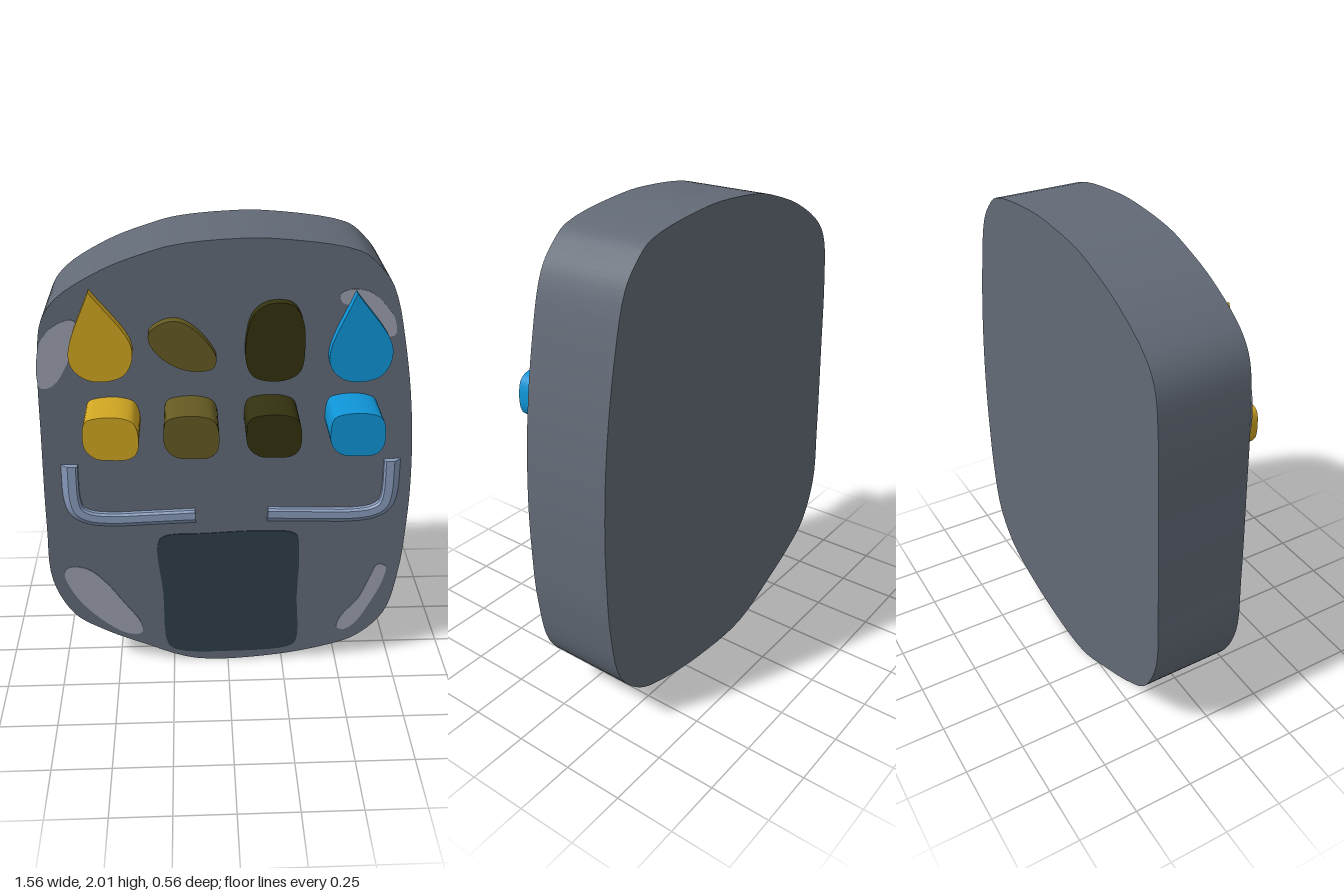
import * as THREE from 'three';
import { toCreasedNormals } from 'three/addons/utils/BufferGeometryUtils.js';

const FACE = 0.1; // z of the body's front face

function material(name, color) {
  const m = new THREE.MeshStandardMaterial({ color });
  m.name = name;
  return m;
}

// Smooth curve through a few [x, y] points
function smooth(points, closed, count) {
  const curve = new THREE.CatmullRomCurve3(points.map(([x, y]) => new THREE.Vector3(x, y, 0)), closed, 'centripetal');
  return curve.getPoints(count).map((p) => new THREE.Vector2(p.x, p.y));
}

// Slab with a given outline between two depths
function slab(name, outline, back, front, mat) {
  const geo = new THREE.ExtrudeGeometry(new THREE.Shape(outline), { depth: front - back, bevelEnabled: false });
  const mesh = new THREE.Mesh(toCreasedNormals(geo, 0.5), mat);
  mesh.position.z = back;
  mesh.name = name;
  return mesh;
}
const blob = (name, points, back, front, mat) =>
  slab(name, smooth(points, true, points.length * 5).slice(0, -1), back, front, mat);

// Handrail: faceted profile swept along a path; side -1 is the right, 1 the left
function rail(name, side, mat) {
  const path = smooth([[-0.655, 1.06], [-0.655, 0.89], [-0.638, 0.835], [-0.59, 0.803], [-0.5, 0.79], [-0.35, 0.793], [-0.14, 0.8]], false, 28);
  const profile = [[-0.036, FACE - 0.005], [-0.036, FACE + 0.003], [-0.008, FACE + 0.025], [0.026, FACE + 0.025], [0.034, FACE + 0.016], [0.034, FACE - 0.005]];
  const rings = path.map((p, i) => {
    const a = path[Math.max(i - 1, 0)], b = path[Math.min(i + 1, path.length - 1)];
    const t = b.clone().sub(a).normalize();
    return profile.map(([o, z]) => {
      const x = p.x - t.y * o, y = p.y + t.x * o;
      return [side < 0 ? x : 0.028 - x, y, z];
    });
  });
  const pos = [];
  const tri = (a, b, c) => (side < 0 ? pos.push(...a, ...b, ...c) : pos.push(...a, ...c, ...b));
  for (let i = 0; i < rings.length - 1; i++) {
    for (let j = 0; j < profile.length - 1; j++) {
      const a = rings[i][j], b = rings[i + 1][j], c = rings[i + 1][j + 1], d = rings[i][j + 1];
      tri(a, b, c);
      tri(a, c, d);
    }
  }
  // End caps
  const first = rings[0], last = rings[rings.length - 1];
  for (let j = 1; j < profile.length - 1; j++) {
    tri(first[0], first[j], first[j + 1]);
    tri(last[0], last[j + 1], last[j]);
  }
  const geo = new THREE.BufferGeometry();
  geo.setAttribute('position', new THREE.Float32BufferAttribute(pos, 3));
  const mesh = new THREE.Mesh(toCreasedNormals(geo, 0.4), mat);
  mesh.name = name;
  return mesh;
}

export function createModel() {
  const group = new THREE.Group();
  group.name = 'controlStone';
  const stone = material('slate grey', 0x626a76);
  const patch = material('pale grey', 0x9a9fac);
  const panel = material('dark teal', 0x2e3c47);
  const metal = material('blue grey', 0x879bbc);
  const yellow = material('yellow', 0xd0a622);
  const olive = material('olive', 0x655a22);
  const dark = material('dark olive', 0x33320f);
  const blue = material('blue', 0x0f94d6);

  // Main body
  group.add(blob('body', [
    [-0.2, 1.98], [0, 2], [0.17, 2], [0.49, 1.95], [0.56, 1.9], [0.63, 1.81], [0.7, 1.55], [0.75, 1.24], [0.772, 0.94],
    [0.772, 0.71], [0.76, 0.49], [0.71, 0.25], [0.59, 0.117], [0.44, 0.058], [0.17, 0.008], [-0.15, 0.004], [-0.39, 0.1],
    [-0.57, 0.19], [-0.69, 0.28], [-0.773, 0.47], [-0.775, 0.76], [-0.76, 1.18], [-0.745, 1.5], [-0.715, 1.69],
    [-0.65, 1.78], [-0.47, 1.89], [-0.31, 1.95],
  ], -0.28, FACE, stone));

  // Thin panel and worn patches on the face
  const plate = (name, points, mat) => group.add(blob(name, points, FACE - 0.002, FACE + 0.003, mat));
  plate('lowerPanel', [
    [-0.305, 0.66], [-0.275, 0.695], [-0.1, 0.705], [0.15, 0.712], [0.295, 0.692], [0.312, 0.6], [0.31, 0.36],
    [0.313, 0.095], [0.28, 0.064], [0, 0.043], [-0.23, 0.058], [-0.275, 0.095], [-0.29, 0.39],
  ], panel);
  plate('upperRightPatch', [
    [-0.742, 1.41], [-0.728, 1.6], [-0.65, 1.68], [-0.59, 1.69], [-0.575, 1.645], [-0.615, 1.54], [-0.69, 1.42],
  ], patch);
  plate('upperLeftPatch', [
    [0.425, 1.78], [0.46, 1.8], [0.54, 1.79], [0.6, 1.74], [0.645, 1.675], [0.65, 1.615], [0.615, 1.61], [0.56, 1.67],
    [0.5, 1.735], [0.44, 1.745],
  ], patch);
  plate('lowerRightPatch', [
    [-0.72, 0.51], [-0.695, 0.54], [-0.62, 0.53], [-0.55, 0.465], [-0.47, 0.345], [-0.395, 0.22], [-0.395, 0.165],
    [-0.46, 0.165], [-0.575, 0.25], [-0.68, 0.385],
  ], patch);
  plate('lowerLeftPatch', [
    [0.5, 0.175], [0.525, 0.155], [0.575, 0.185], [0.645, 0.31], [0.695, 0.44], [0.7, 0.51], [0.665, 0.52], [0.63, 0.44],
    [0.59, 0.335], [0.52, 0.24],
  ], patch);

  // Upper row of raised emblems: two drops, a pebble and a rounded block
  const drop = smooth([[0, 0], [0.145, -0.2], [0.15, -0.28], [0.113, -0.342], [0.035, -0.365], [-0.035, -0.352], [-0.085, -0.3], [-0.09, -0.23], [0, 0]], false, 48).slice(0, -1);
  for (const [name, x, y, mat] of [['yellowDrop', -0.525, 1.815, yellow], ['blueDrop', 0.485, 1.797, blue]]) {
    const mesh = slab(name, drop, FACE, 0.14, mat);
    mesh.position.x = x;
    mesh.position.y = y;
    group.add(mesh);
  }
  group.add(blob('olivePebble', [
    [-0.305, 1.65], [-0.25, 1.69], [-0.19, 1.695], [-0.13, 1.66], [-0.07, 1.59], [-0.047, 1.54], [-0.06, 1.5],
    [-0.12, 1.487], [-0.2, 1.505], [-0.275, 1.56], [-0.305, 1.61],
  ], FACE, 0.14, olive));
  group.add(blob('darkBlock', [
    [0.068, 1.52], [0.085, 1.7], [0.13, 1.75], [0.19, 1.765], [0.25, 1.75], [0.285, 1.69], [0.295, 1.6], [0.285, 1.49],
    [0.25, 1.455], [0.18, 1.44], [0.1, 1.46],
  ], FACE, 0.14, dark));

  // Row of four push buttons
  const button = [
    [-0.108, 0.01], [-0.095, 0.075], [-0.05, 0.092], [0.04, 0.092], [0.09, 0.07], [0.108, 0.01], [0.1, -0.06],
    [0.07, -0.088], [0, -0.093], [-0.06, -0.085], [-0.1, -0.045],
  ];
  [['yellowButton', -0.463, yellow], ['oliveButton', -0.15, olive], ['darkButton', 0.172, dark], ['blueButton', 0.5, blue]].forEach(([name, x, mat]) => {
    const mesh = blob(name, button, FACE, 0.28, mat);
    mesh.position.x = x;
    mesh.position.y = 1.27;
    group.add(mesh);
  });

  // Pair of bent rails
  group.add(rail('rightRail', -1, metal), rail('leftRail', 1, metal));
  return group;
}
